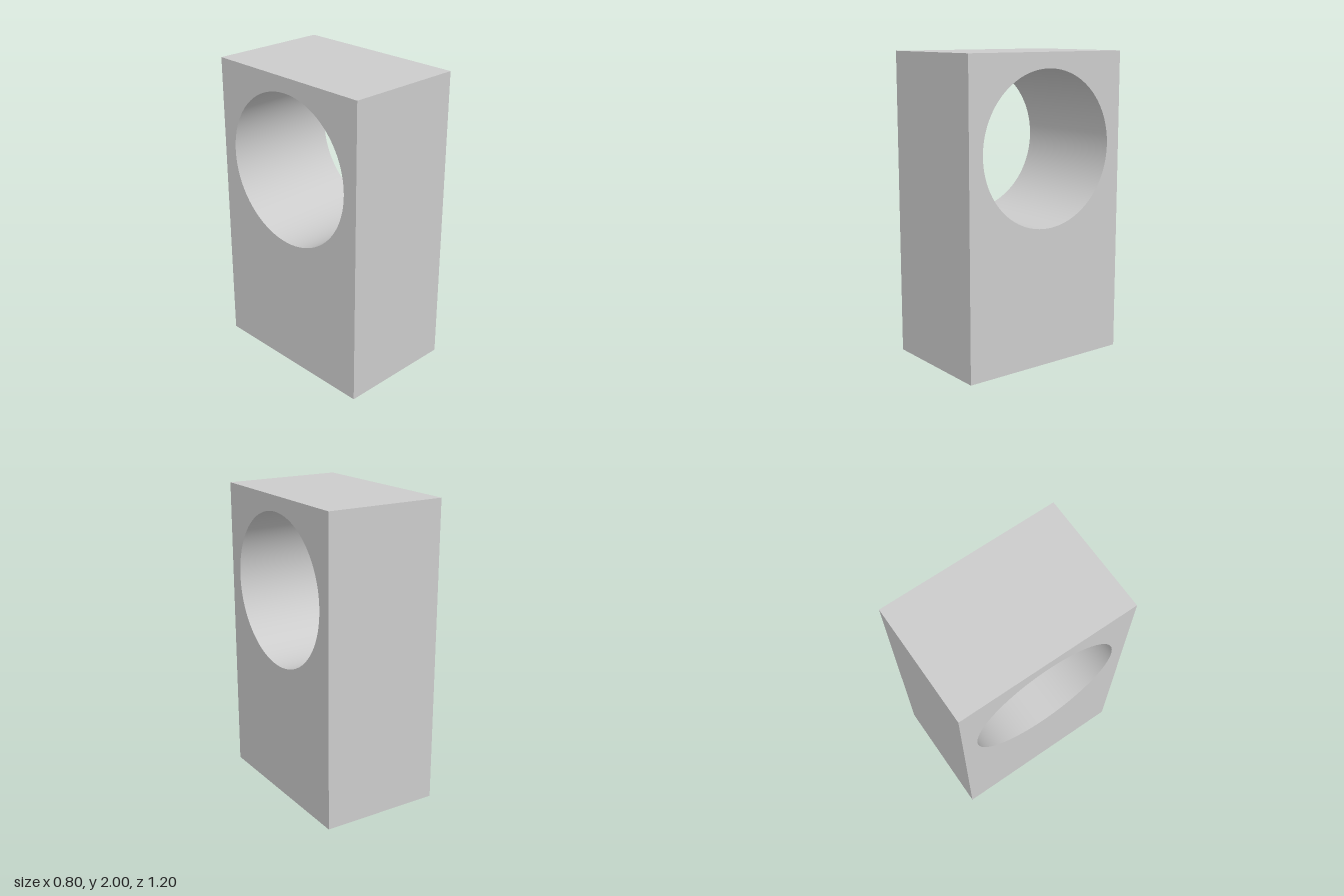
import * as THREE from 'three';
import { toCreasedNormals } from 'three/addons/utils/BufferGeometryUtils.js';

const WIDTH = 0.8, HEIGHT = 2, DEPTH = 1.2;
const HOLE_RADIUS = 0.5, HOLE_HEIGHT = 1.4;

export function createModel() {
  const group = new THREE.Group();
  group.name = 'piercedBlock';

  // Side profile of the block with the round opening
  const profile = new THREE.Shape([
    new THREE.Vector2(-DEPTH / 2, 0),
    new THREE.Vector2(DEPTH / 2, 0),
    new THREE.Vector2(DEPTH / 2, HEIGHT),
    new THREE.Vector2(-DEPTH / 2, HEIGHT),
  ]);
  const hole = new THREE.Path();
  hole.absarc(0, HOLE_HEIGHT, HOLE_RADIUS, 0, Math.PI * 2, true);
  profile.holes.push(hole);

  // Extrude across the width, so the bore runs from side to side
  const geometry = new THREE.ExtrudeGeometry(profile, {
    depth: WIDTH,
    bevelEnabled: false,
    curveSegments: 96,
  });
  geometry.translate(0, 0, -WIDTH / 2);
  geometry.rotateY(Math.PI / 2);

  // Smooth bore, sharp block edges
  const block = new THREE.Mesh(
    toCreasedNormals(geometry, Math.PI / 6),
    new THREE.MeshStandardMaterial({ color: 0xcccccc })
  );
  block.name = 'blockWithRoundBore';
  group.add(block);
  return group;
}
